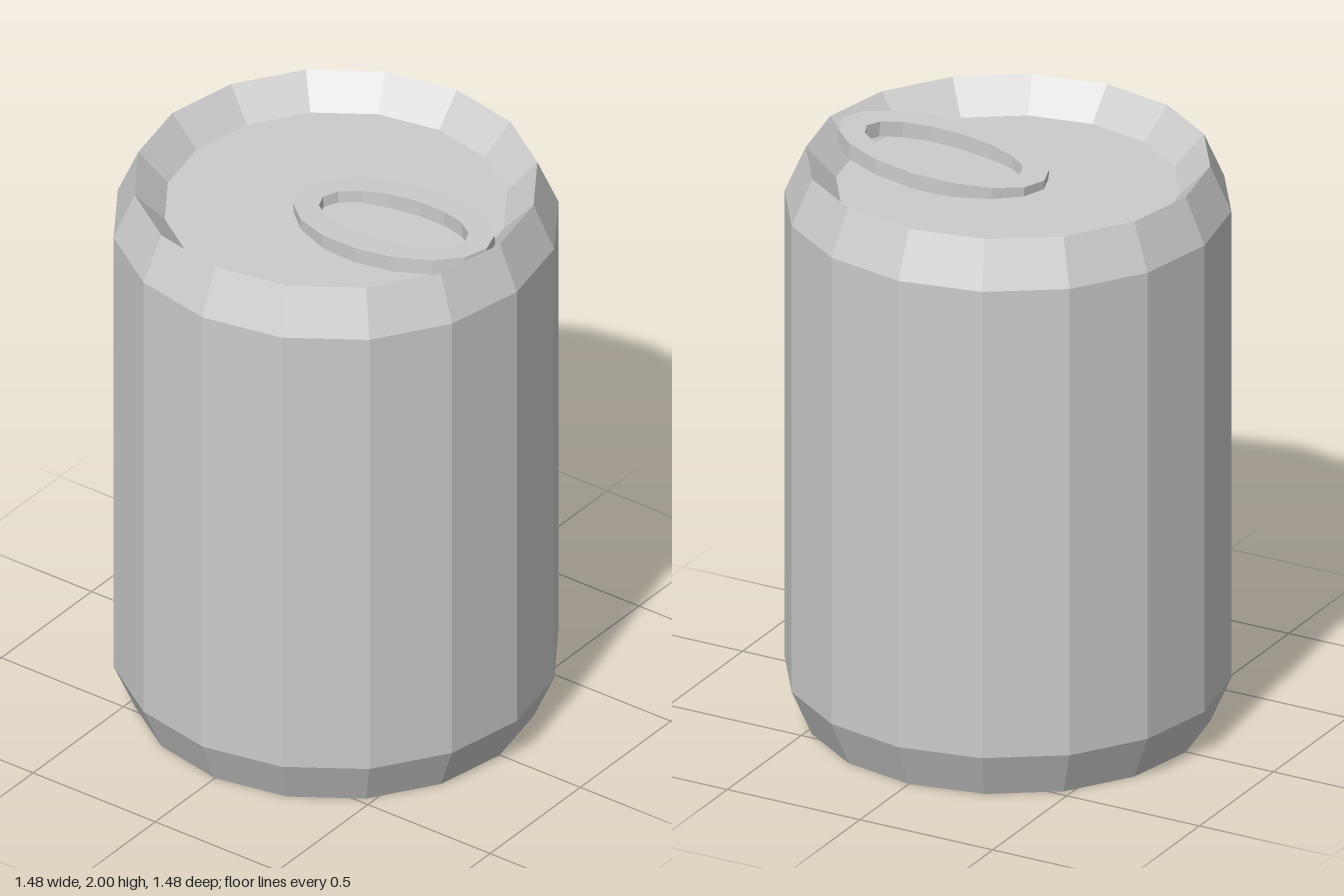
import * as THREE from 'three';

const SIDES = 16;

// Regular polygon squashed to an ellipse, in the xy plane
function ellipsePoints(rx, ry) {
  return Array.from({ length: SIDES }, (_, i) => {
    const a = (i / SIDES) * Math.PI * 2;
    return new THREE.Vector2(Math.cos(a) * rx, Math.sin(a) * ry);
  });
}

export function createModel() {
  const group = new THREE.Group();
  group.name = 'drinkCan';
  const metal = new THREE.MeshStandardMaterial({ color: 0xcccccc, flatShading: true });

  // Can: recessed base, chamfered shoulders, straight wall, recessed lid
  const profile = [
    [0, 0.105], [0.57, 0.105], [0.67, 0], [0.74, 0.16],
    [0.74, 1.84], [0.67, 2], [0.57, 1.895], [0, 1.895],
  ].map(([r, y]) => new THREE.Vector2(r, y));
  const can = new THREE.Mesh(new THREE.LatheGeometry(profile, SIDES), metal);
  can.name = 'canBody';
  group.add(can);

  // Pull tab: oval ring lying in the lid, its front end lifted slightly
  const thickness = 0.055;
  const ring = new THREE.Shape(ellipsePoints(0.218, 0.381));
  ring.holes.push(new THREE.Path(ellipsePoints(0.135, 0.291).reverse()));
  const tabGeometry = new THREE.ExtrudeGeometry(ring, { depth: thickness, bevelEnabled: false });
  tabGeometry.translate(0, 0, -thickness);
  tabGeometry.rotateX(-Math.PI / 2 - 0.08);
  const tab = new THREE.Mesh(tabGeometry, metal);
  tab.name = 'pullTab';
  tab.position.set(-0.032, 1.957, 0.26);
  group.add(tab);

  return group;
}
